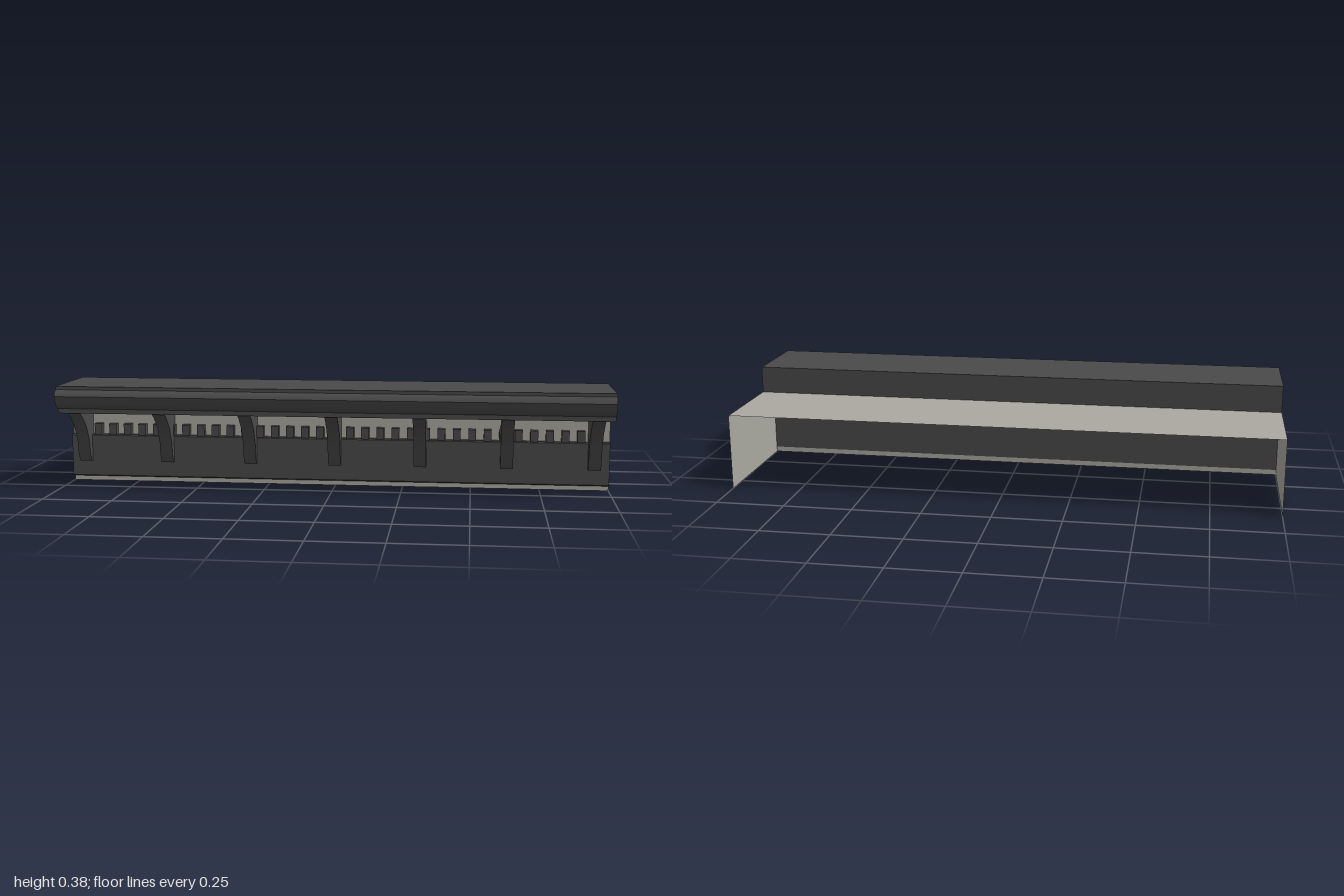
import * as THREE from 'three';
import { toCreasedNormals } from 'three/addons/utils/BufferGeometryUtils.js';

const WALL_Z = 0.137, BACK_Z = -0.343, ROOF_Y = 0.28;
const INSET = 0.001; // trim sinks slightly through the thin shell

export function createModel() {
  const group = new THREE.Group();
  group.name = 'storefrontCornice';

  const stone = new THREE.MeshStandardMaterial({ color: 0xaaa8a0, side: THREE.DoubleSide });
  stone.name = 'paleStone';
  const trim = new THREE.MeshStandardMaterial({ color: 0x4a4a4a });
  trim.name = 'darkTrim';

  const add = (name, geometry, material, x = 0, y = 0, z = 0) => {
    const mesh = new THREE.Mesh(geometry, material);
    mesh.name = name;
    mesh.position.set(x, y, z);
    group.add(mesh);
    return mesh;
  };

  // Extrude a [z, y] profile along x, centred on x = 0
  const moulding = (points, length) => {
    const shape = new THREE.Shape(points.map(([z, y]) => new THREE.Vector2(z, y)));
    const geo = new THREE.ExtrudeGeometry(shape, { depth: length, bevelEnabled: false });
    geo.translate(0, 0, -length / 2).rotateY(-Math.PI / 2);
    return toCreasedNormals(geo, 0.75);
  };

  // Thin shell: front, roof and two ends, open at the back and below
  const depth = WALL_Z - BACK_Z, midZ = (WALL_Z + BACK_Z) / 2;
  add('frontWall', new THREE.PlaneGeometry(2, ROOF_Y), stone, 0, ROOF_Y / 2, WALL_Z);
  add('roof', new THREE.PlaneGeometry(2, depth).rotateX(-Math.PI / 2), stone, 0, ROOF_Y, midZ);
  for (const side of [-1, 1]) {
    add(side > 0 ? 'leftWall' : 'rightWall',
      new THREE.PlaneGeometry(depth, ROOF_Y).rotateY(side * Math.PI / 2),
      stone, side, ROOF_Y / 2, midZ);
  }

  // Overhanging cornice with a rounded nose
  add('cornice', moulding([
    [0.017, ROOF_Y - INSET], [0.305, ROOF_Y - INSET], [0.305, 0.296], [0.322, 0.305],
    [0.336, 0.319], [0.345, 0.345], [0.338, 0.36], [0.325, 0.368], [0.325, 0.38], [0.017, 0.38],
  ], 2), trim);

  // Fascia panel with eased front edges
  const back = WALL_Z - INSET;
  add('fasciaPanel', moulding([
    [back, 0.02], [0.153, 0.02], [0.157, 0.024], [0.157, 0.176], [0.153, 0.18], [back, 0.18],
  ], 2), trim);

  // Curved brackets carrying the cornice
  const bracket = moulding([
    [back, 0.08], [0.169, 0.08], [0.185, 0.114], [0.192, 0.16],
    [0.224, 0.22], [0.272, 0.264], [0.3, ROOF_Y], [back, ROOF_Y],
  ], 0.046);
  for (let i = -3; i <= 3; i++) add('bracket', bracket, trim, i * 0.315);

  // Row of dentils above the panel
  const front = 0.162;
  const dentil = new THREE.BoxGeometry(0.028, 0.042, front - back);
  for (let i = -17; i <= 17; i++) {
    add('dentil', dentil, trim, i * 0.056, 0.2, (front + back) / 2);
  }

  return group;
}
